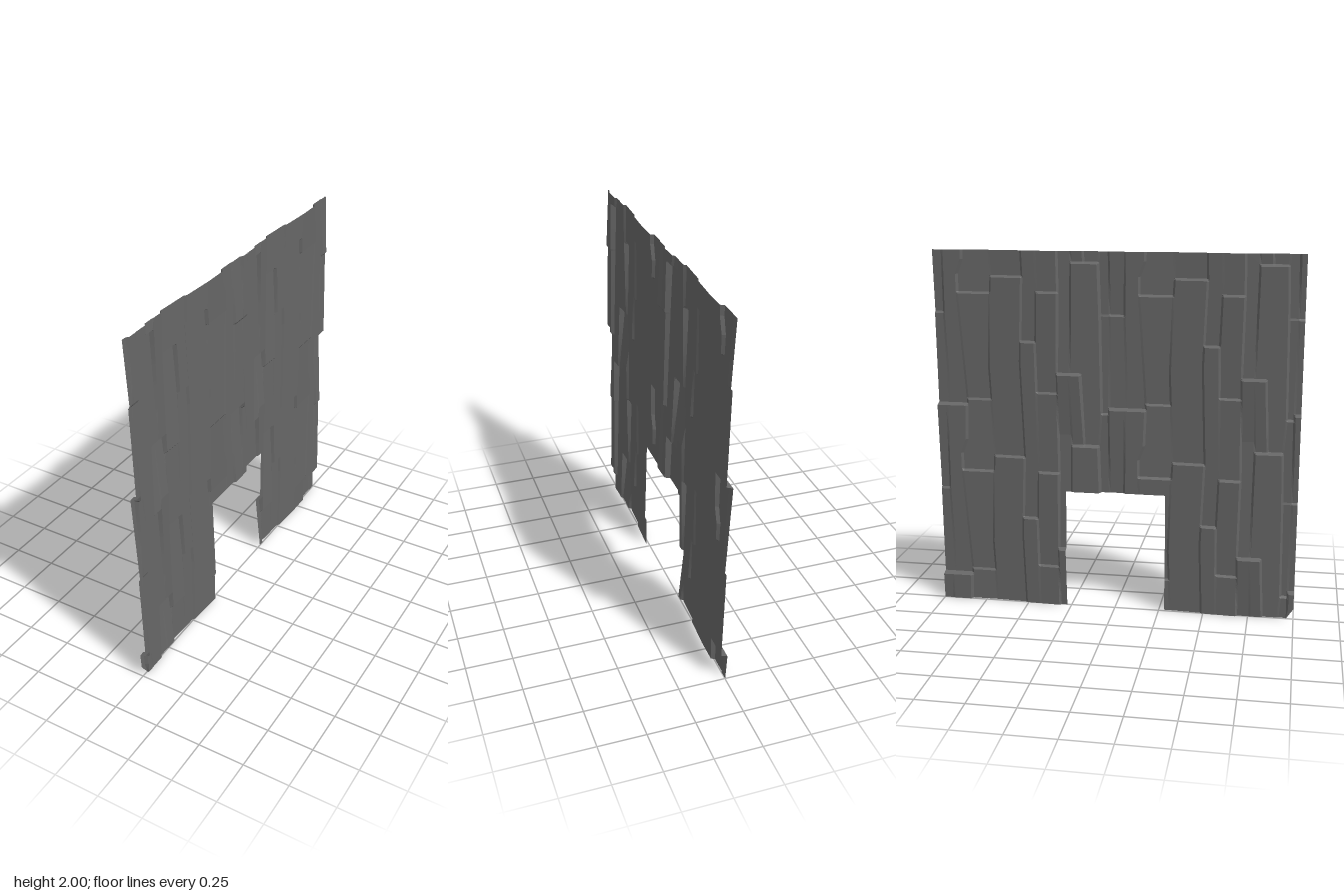
import * as THREE from 'three';

const E = 0.006; // half width of the bevel at every plank edge
const DOOR = { left: 0.28, right: -0.275, top: 0.675 };

// Plank columns of one repeating tile, from high z to low z.
// edge: [y, z] points of the column's +z border
// planks: [top y, x at top, x at bottom], each plank running down to the next top
const COLUMNS = [
  { edge: [[0.13, 0.925], [0.67, 0.918], [0.94, 0.91]], planks: [[0.94, -0.02, 0.01]] },
  { edge: [[0.34, 0.812], [0.94, 0.83]], planks: [[0.34, -0.033, 0.002], [0.94, -0.02, -0.002]] },
  { edge: [[0.34, 0.752], [0.94, 0.762]], planks: [[0.34, -0.033, -0.003]], bend: [0, 0] },
  { edge: [[0.34, 0.682], [0.78, 0.69]], planks: [[0.23, -0.014, -0.008], [0.78, -0.025, -0.004]], tilt: -0.05 },
  { edge: [[0.51, 0.563], [0.78, 0.572]], planks: [[0.51, -0.016, 0.002]], tilt: -0.05 },
  { edge: [[0.40, 0.475], [0.86, 0.493]], planks: [[0.86, -0.005, 0.011]], tilt: -0.05 },
  { edge: [[0.35, 0.297], [0.77, 0.312], [0.86, 0.318]], planks: [[0.18, 0.012, 0.016], [0.77, 0.002, 0.02]] },
  { edge: [[0.15, 0.168], [0.77, 0.13], [0.87, 0.13], [0.95, 0.16]], planks: [[0.15, -0.01, 0.024]] },
  { edge: [[0.33, 0.06], [0.66, 0.05]], planks: [[0.15, -0.01, 0.018], [0.66, 0.01, 0.024]] },
  { edge: [[0.12, -0.035], [0.66, -0.03]], planks: [[0.12, 0.008, 0.016], [0.66, 0.012, 0.022]] },
];

const fract = (v) => v - Math.floor(v);

// Linear interpolation through points that repeat every unit of y
function sample(points, y) {
  const f = fract(y);
  const n = points.length;
  const all = [[points[n - 1][0] - 1, points[n - 1][1]], ...points, [points[0][0] + 1, points[0][1]]];
  for (let i = 0; i <= n; i++) {
    const [a, p] = all[i], [b, q] = all[i + 1];
    if (f <= b + 1e-9) return b - a < 1e-9 ? q : p + (q - p) * (f - a) / (b - a);
  }
  return all[n + 1][1];
}

// Relief profile of a column: each plank leans out to its top, then steps back
function reliefPoints({ planks, bend }) {
  const pts = [];
  planks.forEach(([top, xTop], i) => {
    const above = planks[(i + 1) % planks.length];
    pts.push([top - E, xTop], [top + E, above[2]]);
  });
  if (bend) pts.unshift([bend[0], bend[1]]);
  return pts;
}

COLUMNS.forEach((c) => { c.relief = reliefPoints(c); });

// Rows of the sheet: every place where an edge or relief changes direction
function rowHeights() {
  const ys = [0, 0.06, DOOR.top, 2];
  for (const c of COLUMNS) {
    for (const [y] of [...c.relief, ...c.edge]) ys.push(y, y + 1);
  }
  ys.sort((a, b) => a - b);
  return ys.filter((y, i) => y >= 0 && y <= 2 && (i === 0 || y - ys[i - 1] > 1e-4));
}

// Points across the sheet at one height, from z = 1 to z = -1
function crossSection(y) {
  const corner = 1 - 0.04 * Math.max(0, 1 - y / 0.06); // clipped lower corner
  const line = [];
  for (const shift of [1, 0, -1]) {
    COLUMNS.forEach((c, i) => {
      const next = COLUMNS[(i + 1) % COLUMNS.length];
      const z0 = sample(c.edge, y) + shift - E;
      const z1 = sample(next.edge, y) + shift - (i === COLUMNS.length - 1 ? 1 : 0) + E;
      const cuts = [z0, z1];
      // extra lines for the door jambs
      if (shift === 0 && i === 6) cuts.splice(1, 0, DOOR.left);
      if (shift === -1 && i === 2) cuts.splice(1, 0, DOOR.right);
      for (const z of cuts) {
        const zc = Math.max(-1, Math.min(corner, z));
        const x = sample(c.relief, y) + (c.tilt || 0) * (zc - (z0 + z1) / 2);
        line.push(new THREE.Vector3(x, y, zc));
      }
    });
  }
  return line;
}

export function createModel() {
  const group = new THREE.Group();
  group.name = 'plankWall';
  const greyWood = new THREE.MeshStandardMaterial({ color: 0x666666, side: THREE.DoubleSide, flatShading: true });
  greyWood.name = 'greyWood';

  const parts = { upperWall: [], leftOfDoor: [], rightOfDoor: [] };
  const rows = rowHeights().map(crossSection);
  for (let r = 0; r + 1 < rows.length; r++) {
    for (let i = 0; i + 1 < rows[r].length; i++) {
      const a = rows[r][i], b = rows[r][i + 1], c = rows[r + 1][i + 1], d = rows[r + 1][i];
      if (a.z - b.z < 1e-5 && d.z - c.z < 1e-5) continue;
      const y = (a.y + c.y) / 2;
      const z = (a.z + b.z + c.z + d.z) / 4;
      const low = y < DOOR.top;
      if (low && z < DOOR.left && z > DOOR.right) continue; // doorway
      const list = !low ? parts.upperWall : z > 0 ? parts.leftOfDoor : parts.rightOfDoor;
      for (const p of [a, b, c, a, c, d]) list.push(p.x, p.y, p.z);
    }
  }

  for (const [name, positions] of Object.entries(parts)) {
    const geometry = new THREE.BufferGeometry();
    geometry.setAttribute('position', new THREE.Float32BufferAttribute(positions, 3));
    geometry.computeVertexNormals();
    const mesh = new THREE.Mesh(geometry, greyWood);
    mesh.name = name;
    group.add(mesh);
  }
  return group;
}
